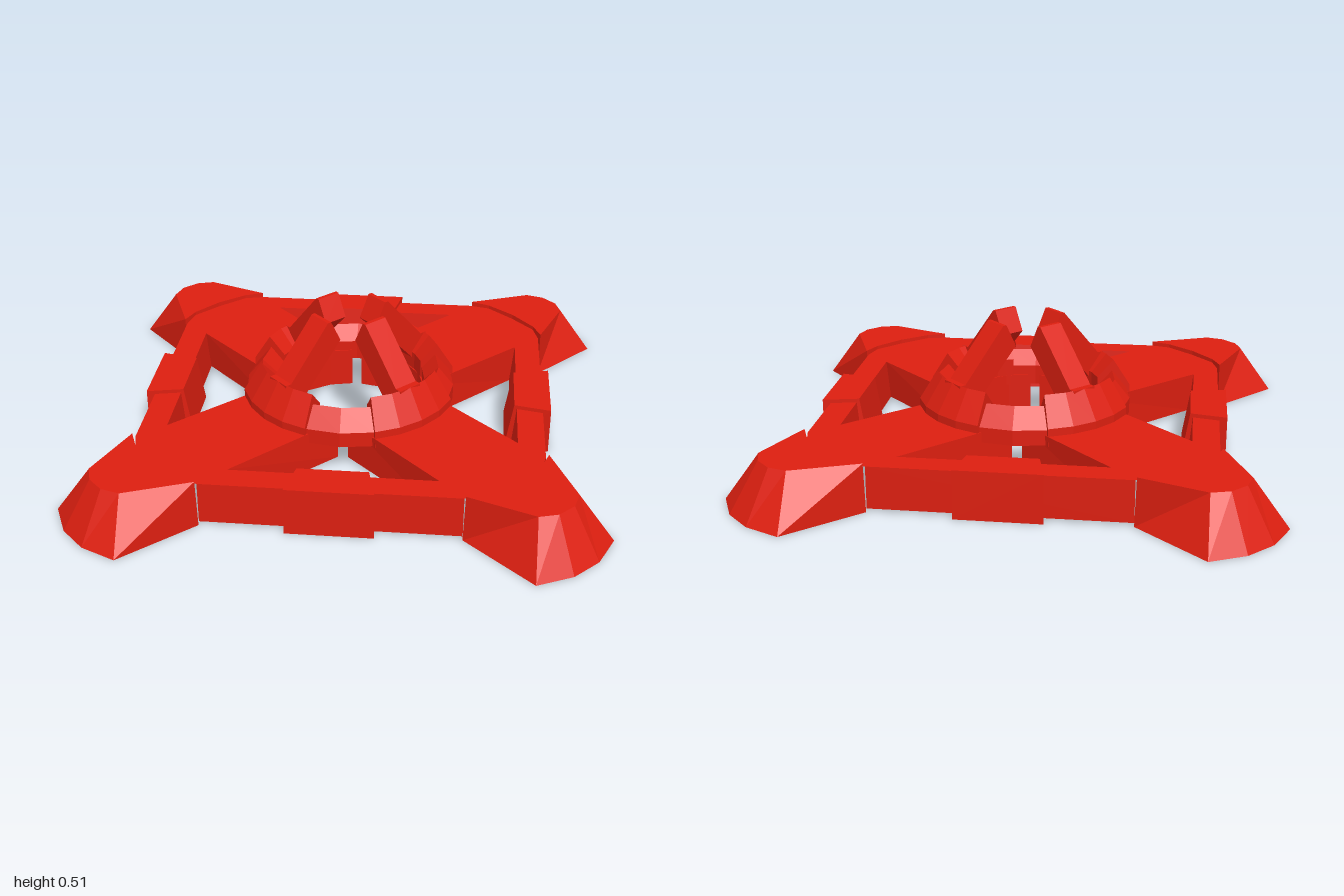
import * as THREE from 'three';

const red = new THREE.MeshStandardMaterial({ color: 0xdd1f10, flatShading: true, side: THREE.DoubleSide });
const RAD = Math.PI / 180;
const polar = (r, deg) => [r * Math.cos(deg * RAD), r * Math.sin(deg * RAD)];
const toShape = pts => new THREE.Shape(pts.map(p => new THREE.Vector2(...p)));

function part(name, geometry, parent) {
  const flat = geometry.index ? geometry.toNonIndexed() : geometry;
  flat.computeVertexNormals();
  const mesh = new THREE.Mesh(flat, red);
  mesh.name = name;
  parent.add(mesh);
  return mesh;
}

// Open-bottomed shell between a lower and an upper loop of [x, y, z] points, closed on top
function shell(lower, upper) {
  const pos = [];
  const n = lower.length;
  for (let i = 0; i < n; i++) {
    const j = (i + 1) % n;
    pos.push(...lower[i], ...upper[j], ...lower[j], ...lower[i], ...upper[i], ...upper[j]);
  }
  const flat = upper.map(p => new THREE.Vector2(p[0], p[2]));
  for (const [a, b, c] of THREE.ShapeUtils.triangulateShape(flat, [])) {
    const up = THREE.ShapeUtils.area([flat[a], flat[b], flat[c]]) < 0;
    pos.push(...upper[a], ...upper[up ? b : c], ...upper[up ? c : b]);
  }
  const g = new THREE.BufferGeometry();
  g.setAttribute('position', new THREE.Float32BufferAttribute(pos, 3));
  return g;
}

// Keeps only the triangles whose normal and centre pass a test
function filterFaces(geometry, keep) {
  const src = geometry.index ? geometry.toNonIndexed() : geometry;
  const p = src.attributes.position;
  const out = [];
  for (let i = 0; i < p.count; i += 3) {
    const [a, b, c] = [0, 1, 2].map(k => new THREE.Vector3().fromBufferAttribute(p, i + k));
    const t = new THREE.Triangle(a, b, c);
    if (keep(t.getNormal(new THREE.Vector3()), t.getMidpoint(new THREE.Vector3())))
      out.push(...a.toArray(), ...b.toArray(), ...c.toArray());
  }
  const g = new THREE.BufferGeometry();
  g.setAttribute('position', new THREE.Float32BufferAttribute(out, 3));
  return g;
}

// Square frame with four diagonal arms, hollow underneath
function plateGeometry() {
  const outer = [], hole = [];
  for (let k = 0; k < 4; k++) {
    const turn = ([x, y]) => {
      const c = Math.round(Math.cos(k * Math.PI / 2)), s = Math.round(Math.sin(k * Math.PI / 2));
      return [x * c - y * s, x * s + y * c];
    };
    outer.push(...[[0.76, 0.47], [0.74, 0.55], [0.65, 0.65], [0.55, 0.74], [0.47, 0.76]].map(turn));
    hole.push(...[[0.289, -0.019], [0.66, -0.38], [0.66, 0.38], [0.289, 0.019],
      polar(0.29, 22), polar(0.29, 45), polar(0.29, 68)].map(turn));
  }
  const shape = toShape(outer);
  shape.holes.push(new THREE.Path(hole.map(p => new THREE.Vector2(...p))));
  const g = new THREE.ExtrudeGeometry(shape, { depth: 0.16, bevelEnabled: false });
  g.rotateX(-Math.PI / 2).translate(0, 0.01, 0);
  // Inner walls of the rails lean inwards at the bottom
  const p = g.attributes.position;
  for (let i = 0; i < p.count; i++) {
    if (p.getY(i) > 0.1) continue;
    if (Math.abs(Math.abs(p.getX(i)) - 0.66) < 0.005) p.setX(i, Math.sign(p.getX(i)) * 0.645);
    if (Math.abs(Math.abs(p.getZ(i)) - 0.66) < 0.005) p.setZ(i, Math.sign(p.getZ(i)) * 0.645);
  }
  // Drop the underside and the corner walls inside the feet
  return filterFaces(g, (n, m) => n.y > -0.5 &&
    !(Math.abs(n.y) < 0.1 && Math.min(Math.abs(n.x), Math.abs(n.z)) > 0.2 && Math.hypot(m.x, m.z) > 0.85));
}

// Part of the ring: a swept profile with closed ends
function ringSector(name, profile, mid, half, segments, parent) {
  const group = new THREE.Group();
  group.name = name;
  const pts = profile.map(p => new THREE.Vector2(...p));
  part('sweep', new THREE.LatheGeometry(pts, segments, (mid - half) * RAD, 2 * half * RAD), group);
  for (const side of [-1, 1])
    part('endFace', new THREE.ShapeGeometry(toShape(profile)).rotateY((mid + side * half - 90) * RAD), group);
  parent.add(group);
}

export function createModel() {
  const model = new THREE.Group();
  model.name = 'stand';
  part('basePlate', plateGeometry(), model);

  // Corner foot loops, [x, z]; the first six points are the outside, the rest the inner arc
  const arc = [[0.74, 0.55], [0.655, 0.655], [0.55, 0.74]];
  const footLow = [[0.47, 0.77], [0.72, 1], [0.85, 0.94], [0.94, 0.85], [1, 0.72], [0.77, 0.47], ...arc];
  const footTop = [[0.475, 0.77], [0.72, 0.865], [0.79, 0.845], [0.845, 0.79], [0.865, 0.72], [0.77, 0.475], ...arc];
  const footGeo = shell(
    footLow.map(([x, z], i) => [x, i > 5 ? 0.165 : 0, z]),
    footTop.map(([x, z]) => [x, 0.185, z]));

  // Clip on the middle of each rail
  const clipGeo = shell(
    [[-0.13, 0, 0.62], [-0.16, 0, 0.79], [0.16, 0, 0.79], [0.13, 0, 0.62]],
    [[-0.13, 0.185, 0.65], [-0.16, 0.185, 0.79], [0.16, 0.185, 0.79], [0.13, 0.185, 0.65]]);

  // Ring profiles and the leaning prong, [radius, y]
  const blockProfile = [[0.425, 0.13], [0.425, 0.2], [0.355, 0.31], [0.29, 0.24], [0.29, 0.13]];
  const linkProfile = [[0.41, 0.13], [0.41, 0.19], [0.35, 0.265], [0.295, 0.21], [0.295, 0.13]];
  const prongProfile = [[0.09, 0.42], [0.205, 0.3], [0.3, 0.2], [0.36, 0.22], [0.355, 0.31], [0.33, 0.31], [0.15, 0.51], [0.135, 0.51]];

  for (let k = 0; k < 4; k++) {
    const a = k * 90;
    part('cornerFoot', footGeo.clone(), model).rotation.y = a * RAD;
    part('railClip', clipGeo.clone(), model).rotation.y = a * RAD;
    ringSector('ringBlock', blockProfile, a + 45, 27, 4, model);
    ringSector('ringLink', linkProfile, a, 18, 2, model);
    const prong = new THREE.ExtrudeGeometry(toShape(prongProfile), { depth: 0.1, bevelEnabled: false });
    part('prong', prong.translate(0, 0, -0.05).rotateY((a - 45) * RAD), model);
  }
  return model;
}
